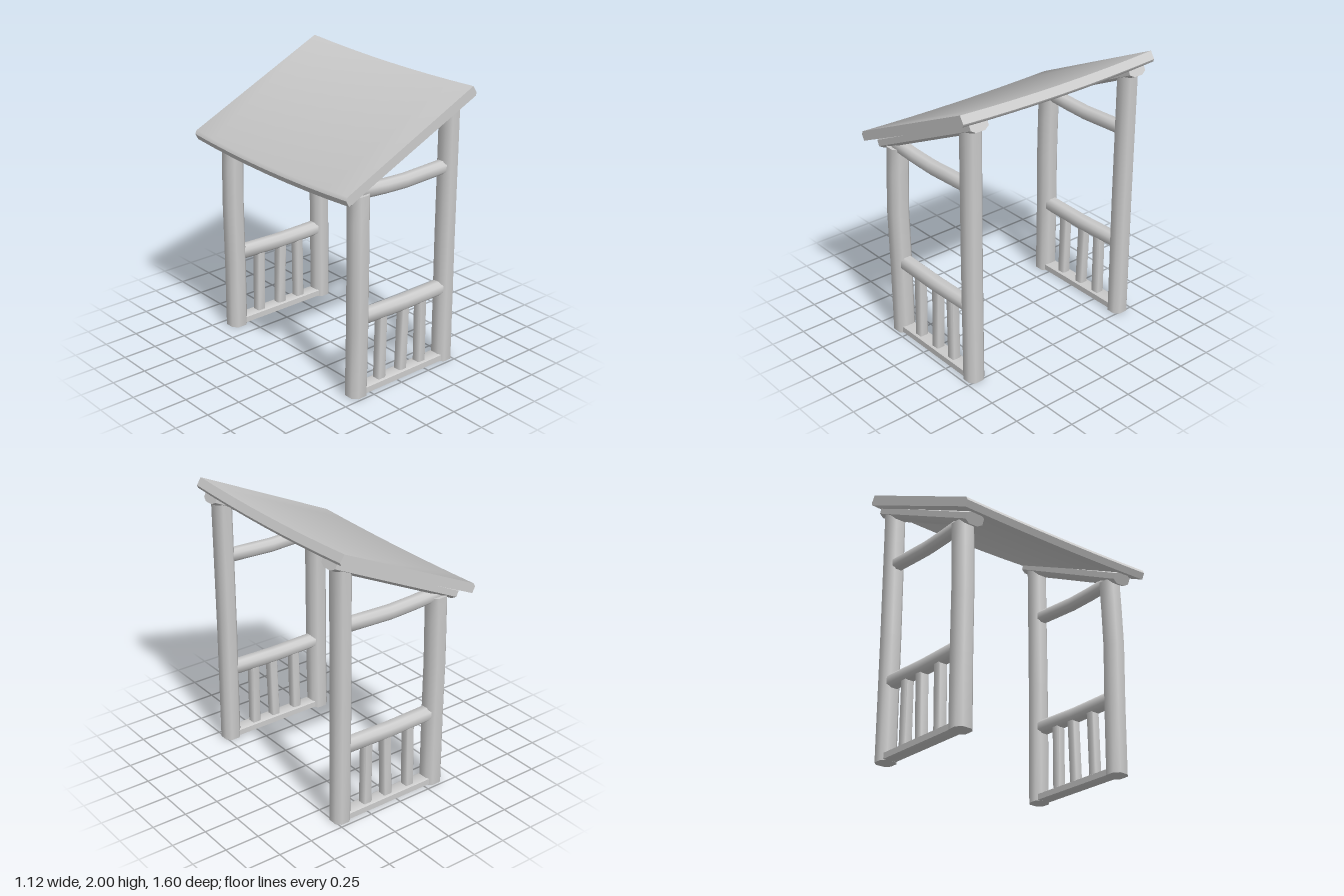
import * as THREE from 'three';
import { toCreasedNormals } from 'three/addons/utils/BufferGeometryUtils.js';

const material = new THREE.MeshStandardMaterial({ color: 0xcccccc });

// Skin a list of closed rings (counter-clockwise seen from the far end) and cap both ends.
function loft(rings) {
  const n = rings[0].length;
  const positions = rings.flat().flatMap((p) => [p.x, p.y, p.z]);
  const index = [];
  for (let i = 0; i < rings.length - 1; i++) {
    for (let j = 0; j < n; j++) {
      const a = i * n + j, b = i * n + (j + 1) % n;
      index.push(a, b, b + n, a, b + n, a + n);
    }
  }
  const last = (rings.length - 1) * n;
  for (let j = 1; j < n - 1; j++) {
    index.push(0, j + 1, j);
    index.push(last, last + j, last + j + 1);
  }
  const geometry = new THREE.BufferGeometry();
  geometry.setAttribute('position', new THREE.Float32BufferAttribute(positions, 3));
  geometry.setIndex(index);
  return toCreasedNormals(geometry, 0.9);
}

// Hewn timber with chamfered corners, following [x, y, z] points; depth is along z.
function timber(name, points, width, depth, chamfer = 0.25) {
  const path = points.map((p) => new THREE.Vector3(...p));
  const dir = path[path.length - 1].clone().sub(path[0]).normalize();
  const u = new THREE.Vector3(0, 0, 1);
  const v = dir.clone().cross(u).normalize();
  const k = 1 - 2 * chamfer;
  const section = [[1, -k], [1, k], [k, 1], [-k, 1], [-1, k], [-1, -k], [-k, -1], [k, -1]];
  const rings = path.map((p) => section.map(([a, b]) =>
    p.clone().addScaledVector(u, a * depth / 2).addScaledVector(v, b * width / 2)));
  const mesh = new THREE.Mesh(loft(rings), material);
  mesh.name = name;
  return mesh;
}

// Sloping roof slab, sagging towards the middle of its length.
function roof() {
  const profile = [[-0.525, 1.443], [0.55, 1.93], [0.557, 1.95], [0.525, 2.0], [-0.535, 1.51], [-0.547, 1.485]];
  const rings = [];
  for (let i = 0; i <= 8; i++) {
    const t = i / 4 - 1;
    const sag = 1 - t * t;
    rings.push(profile.map(([x, y]) =>
      new THREE.Vector3(x - (x < 0 ? 0.013 * sag : 0), y - 0.022 * sag, t * 0.8)));
  }
  const mesh = new THREE.Mesh(loft(rings), material);
  mesh.name = 'roof';
  return mesh;
}

// One side frame: two posts, rafter, rails and balusters.
function sideFrame(side) {
  const frame = new THREE.Group();
  frame.name = side > 0 ? 'frontFrame' : 'backFrame';
  const z = side * 0.665;
  const bow = side > 0 ? 0.012 : 0;
  frame.add(
    timber('lowPost', [[-0.338, 0, z], [-0.336, 0.5, z + bow / 2], [-0.34, 0.95, z + bow],
      [-0.335, 1.25, z + bow / 2], [-0.33, 1.44, z]], 0.135, 0.135),
    timber('highPost', [[0.452, 0, z], [0.448, 0.9, z], [0.452, 1.86, z]], 0.125, 0.13),
    timber('rafter', [[-0.455, 1.432, z], [0.535, 1.903, z]], 0.085, 0.14),
    timber('topBeam', [[-0.33, 1.45, z], [-0.12, 1.435, z], [0.06, 1.428, z],
      [0.22, 1.434, z], [0.45, 1.443, z]], 0.09, 0.09),
    timber('handRail', [[-0.33, 0.562, z], [0.06, 0.552, z], [0.45, 0.56, z]], 0.1, 0.1),
    timber('bottomBeam', [[-0.33, 0.028, z], [0.45, 0.028, z]], 0.055, 0.1, 0.12)
  );
  // Slightly crooked balusters
  for (const [bottom, top] of [[-0.13, -0.12], [0.062, 0.078], [0.238, 0.235]]) {
    frame.add(timber('baluster', [[bottom, 0.03, z], [top, 0.54, z]], 0.066, 0.066, 0.12));
  }
  return frame;
}

export function createModel() {
  const model = new THREE.Group();
  model.name = 'porchShelter';
  model.add(roof(), sideFrame(1), sideFrame(-1));
  return model;
}
